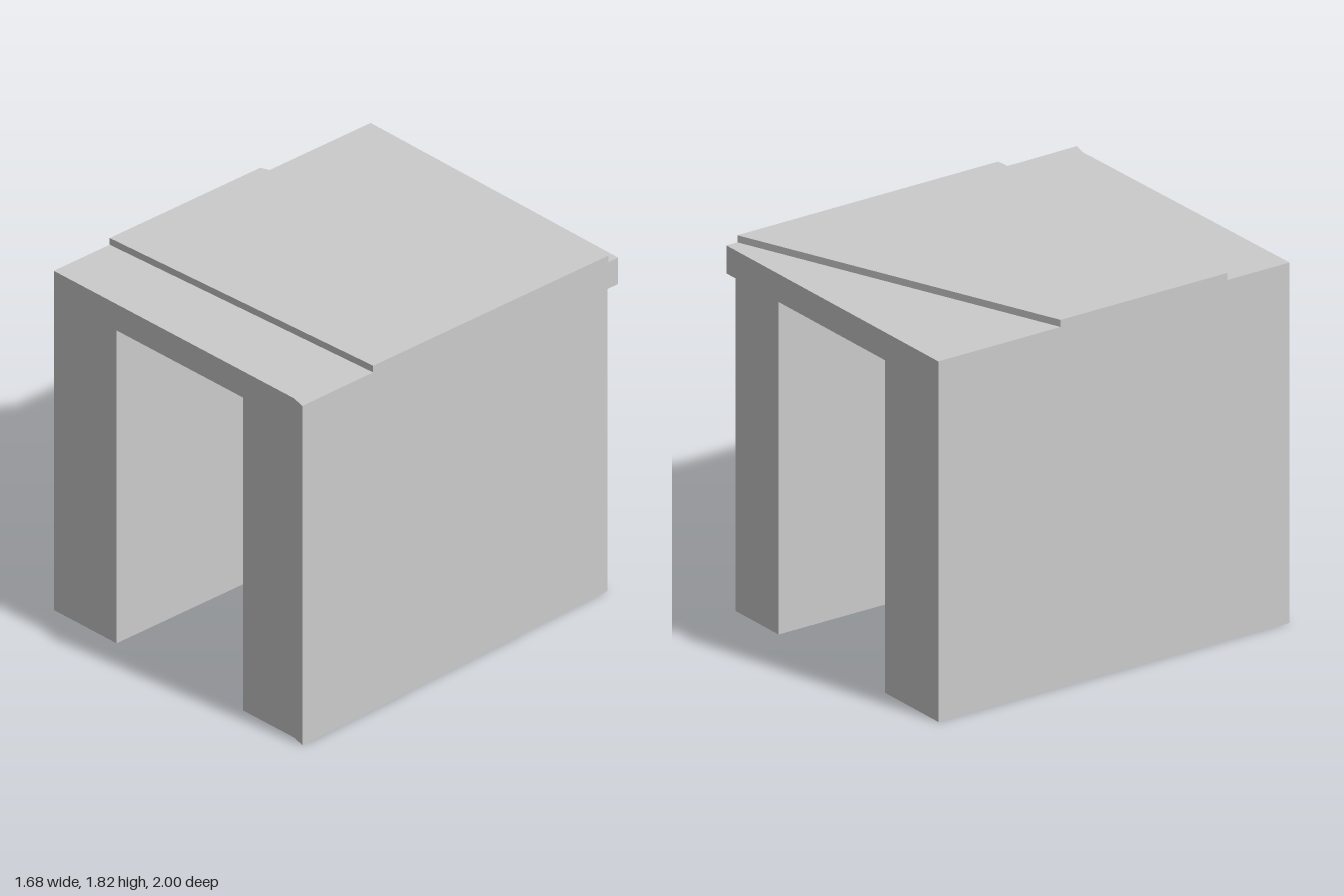
import * as THREE from 'three';

const material = new THREE.MeshStandardMaterial({ color: 0xcccccc, flatShading: true });

// Upright prism from a plan outline of [x, z] corners, between two heights
function prism(name, plan, bottom, top) {
  const shape = new THREE.Shape(plan.map(([x, z]) => new THREE.Vector2(x, -z)));
  const geometry = new THREE.ExtrudeGeometry(shape, { depth: top - bottom, bevelEnabled: false });
  geometry.rotateX(-Math.PI / 2).translate(0, bottom, 0);
  const mesh = new THREE.Mesh(geometry, material);
  mesh.name = name;
  return mesh;
}

export function createModel() {
  const group = new THREE.Group();
  group.name = 'archway';

  const half = 0.838;    // half of the width
  const inner = 0.42;    // half of the passage
  const springY = 1.642; // underside of the lintel
  const roofY = 1.78;
  const front = 0.977;
  const backZ = (x) => -0.99 + 0.0125 * x; // slightly skewed back face

  // Corner that flares forward on the left front edge
  const flare = [[0.76, front], [half, 0.997], [0.835, 0.77]];

  // Piers on both sides of the passage; the left one narrows to the back
  group.add(prism('rightPier', [
    [-half, front], [-inner, front], [-inner, backZ(-inner)], [-half, backZ(-half)],
  ], 0, springY));
  group.add(prism('leftPier', [
    [inner, front], ...flare, [0.76, backZ(0.76)], [inner, backZ(inner)],
  ], 0, springY));

  // Lintel slab spanning the piers and overhanging the narrowed one
  group.add(prism('lintel', [
    [-half, front], ...flare, [0.832, backZ(0.832)], [-half, backZ(-half)],
  ], springY, roofY));

  // Thin raised plate with slanted front and back edges
  group.add(prism('raisedPlate', [
    [-half, 0.628], [0.8345, 0.552], [0.832, -0.918], [-half, -0.312],
  ], roofY, 1.815));

  return group;
}
